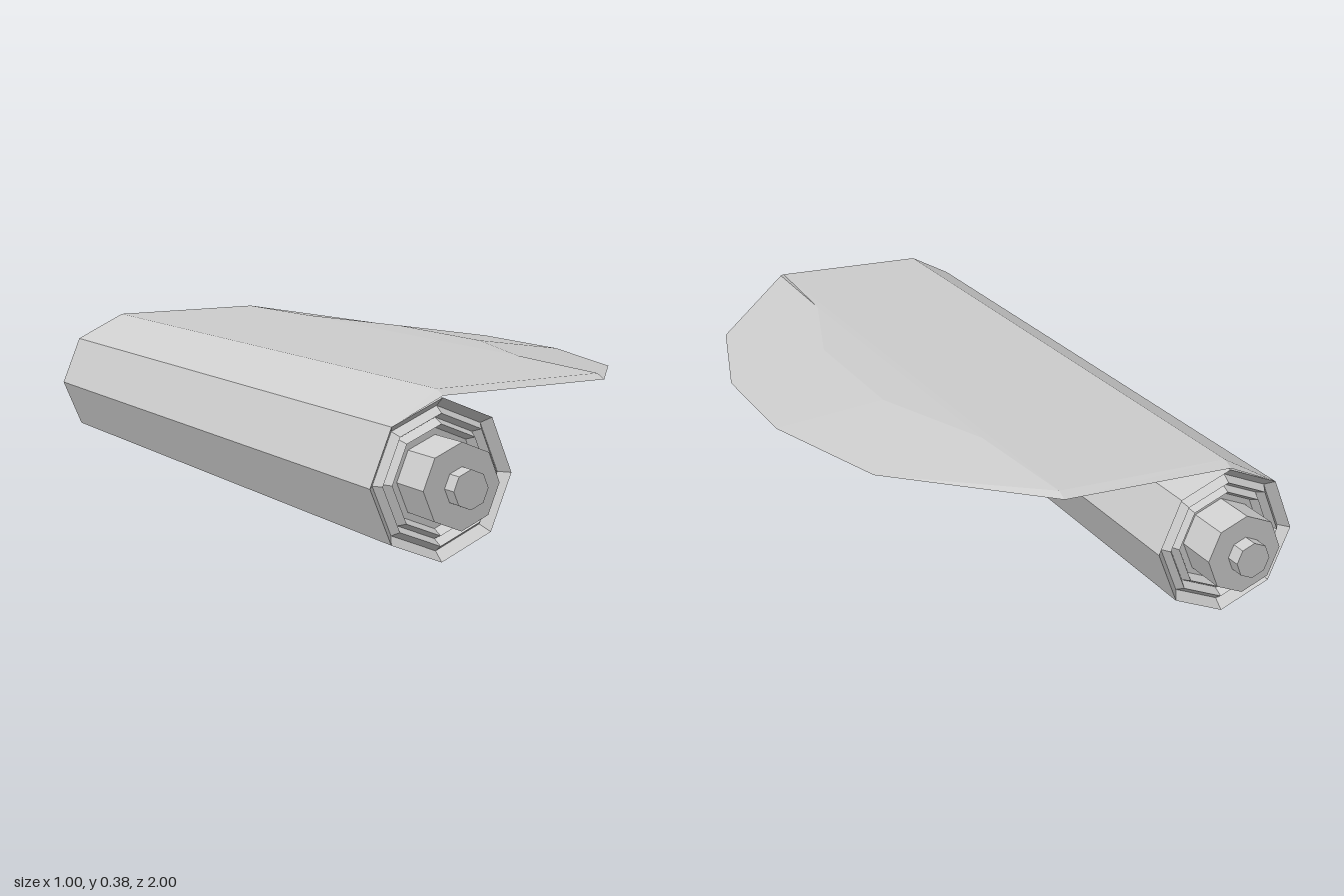
import * as THREE from 'three';

const AXIS_X = -0.326, AXIS_Y = 0.178;

export function createModel() {
  const model = new THREE.Group();
  model.name = 'unrolledScroll';
  const grey = new THREE.MeshStandardMaterial({ color: 0xcccccc, flatShading: true });
  grey.name = 'plain grey';

  // Parts turned around the roll's long axis (z)
  function addTurned(name, geometry) {
    const mesh = new THREE.Mesh(geometry.rotateX(Math.PI / 2), grey);
    mesh.name = name;
    mesh.position.set(AXIS_X, AXIS_Y, 0);
    model.add(mesh);
  }

  // Rolled sheet: octagonal, with ridged windings at both ends
  const end = [
    [0.178, 0.89], [0.158, 0.865], [0.144, 0.885], [0.132, 0.86],
    [0.121, 0.885], [0.11, 0.86], [0, 0.86],
  ];
  const profile = [
    ...end.slice().reverse().map(([r, h]) => new THREE.Vector2(r, -h)),
    ...end.map(([r, h]) => new THREE.Vector2(r, h)),
  ];
  addTurned('roll', new THREE.LatheGeometry(profile, 8));

  // Rod through the roll and its thinner end pins
  addTurned('rod', new THREE.CylinderGeometry(0.095, 0.095, 1.93, 8));
  addTurned('endPins', new THREE.CylinderGeometry(0.043, 0.043, 2, 8));

  // Loose sheet: rim and raised top edge, given for the +z half
  const rim = [
    [-0.452, 0.304, 0.89], [-0.326, 0.36, 0.89], [0.1, 0.364, 0.89],
    [0.395, 0.332, 0.53], [0.5, 0.33, 0.17],
  ];
  const top = [
    rim[0], [-0.326, 0.372, 0.865], [0.1, 0.375, 0.865],
    [0.12, 0.375, 0.53], [0.23, 0.371, 0.2],
  ];
  const flip = ([x, y, z]) => [x, y, -z];
  const positions = [];
  const face = (...p) => {
    for (let i = 1; i < p.length - 1; i++) positions.push(...p[0], ...p[i], ...p[i + 1]);
  };
  const mirroredFace = (...p) => {
    face(...p);
    face(...p.map(flip).reverse());
  };
  // Upper surface and sloping border
  for (let i = 0; i < 4; i++) {
    face(top[i], top[i + 1], flip(top[i + 1]), flip(top[i]));
    mirroredFace(rim[i], rim[i + 1], top[i + 1], top[i]);
  }
  face(top[4], rim[4], flip(rim[4]), flip(top[4]));
  // Underside
  for (const [a, b] of [[1, 3], [3, 4]]) {
    face(flip(rim[a]), flip(rim[b]), rim[b], rim[a]);
  }
  mirroredFace(rim[1], rim[3], rim[2]);

  const sheetGeometry = new THREE.BufferGeometry();
  sheetGeometry.setAttribute('position', new THREE.Float32BufferAttribute(positions, 3));
  sheetGeometry.computeVertexNormals();
  const sheet = new THREE.Mesh(sheetGeometry, grey);
  sheet.name = 'looseSheet';
  model.add(sheet);

  return model;
}
